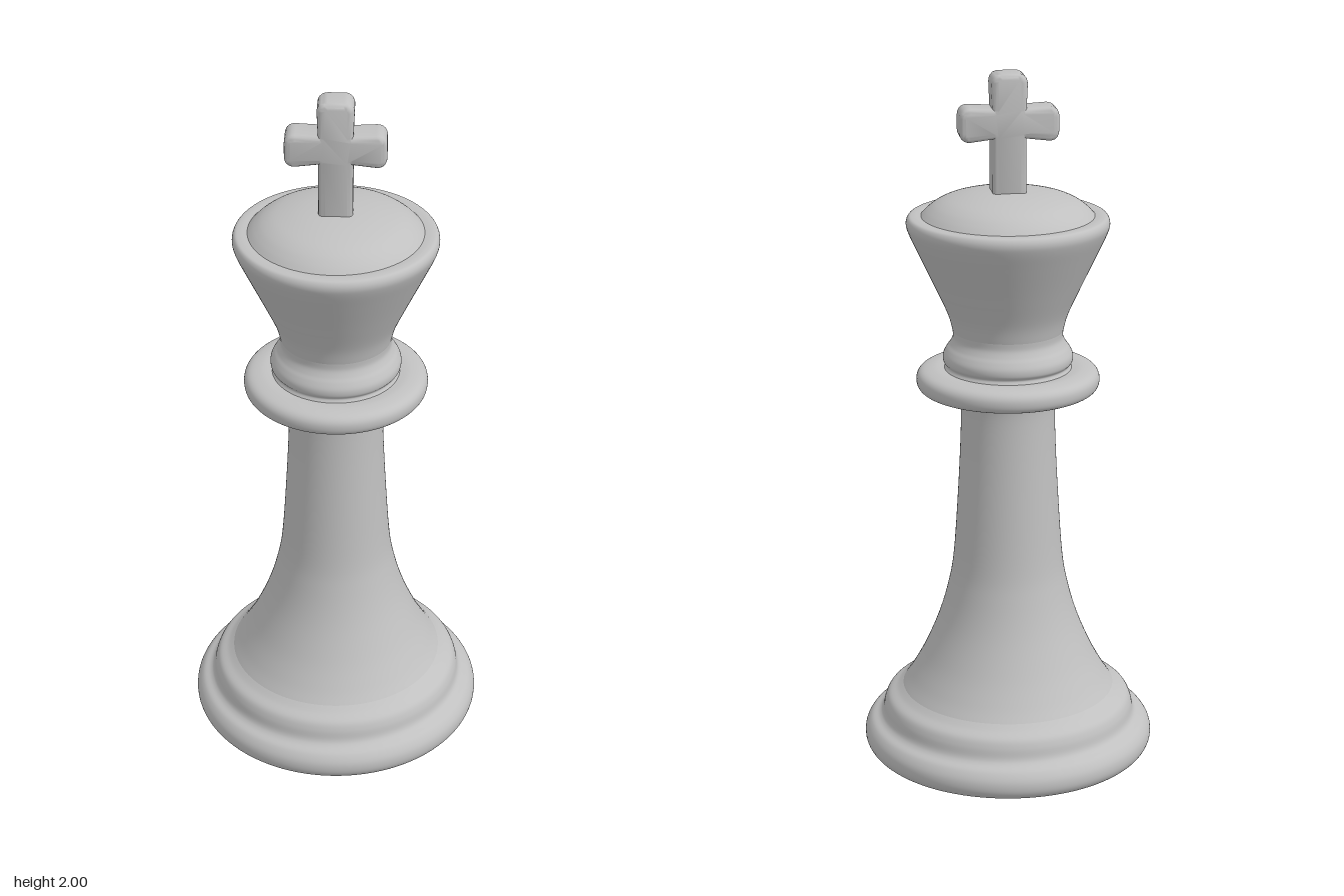
import * as THREE from 'three';
import { toCreasedNormals } from 'three/addons/utils/BufferGeometryUtils.js';

// Smooth turned section through a few [radius, height] points, bottom to top
function turned(name, points, material, samples = 32) {
  const curve = new THREE.SplineCurve(points.map(([r, y]) => new THREE.Vector2(r, y)));
  const profile = curve.getPoints(samples).map(p => p.set(Math.max(p.x, 0), Math.max(p.y, 0)));
  const mesh = new THREE.Mesh(new THREE.LatheGeometry(profile, 96), material);
  mesh.name = name;
  return mesh;
}

// Closed outline whose corners are rounded by up to radius r
function roundedShape(points, r) {
  const pts = points.map(([x, y]) => new THREE.Vector2(x, y));
  const shape = new THREE.Shape();
  pts.forEach((p, i) => {
    const before = pts[(i + pts.length - 1) % pts.length];
    const after = pts[(i + 1) % pts.length];
    const a = p.clone().add(before.clone().sub(p).setLength(r));
    const b = p.clone().add(after.clone().sub(p).setLength(r));
    if (i === 0) shape.moveTo(a.x, a.y); else shape.lineTo(a.x, a.y);
    shape.quadraticCurveTo(p.x, p.y, b.x, b.y);
  });
  shape.closePath();
  return shape;
}

export function createModel() {
  const group = new THREE.Group();
  const grey = new THREE.MeshStandardMaterial({ color: 0xc0c0c0, side: THREE.DoubleSide });
  grey.name = 'light grey';

  // Hollow stepped foot, open underneath
  group.add(turned('foot', [
    [0.355, 0.01], [0.38, 0.004], [0.405, 0.008], [0.42, 0.03], [0.419, 0.06], [0.403, 0.085],
    [0.38, 0.098], [0.369, 0.112], [0.362, 0.14], [0.35, 0.162], [0.325, 0.178], [0.308, 0.192],
  ], grey, 60));

  // Flared stem
  group.add(turned('stem', [
    [0.308, 0.192], [0.283, 0.23], [0.245, 0.3], [0.203, 0.4], [0.174, 0.5], [0.157, 0.6],
    [0.143, 0.8], [0.135, 0.97], [0.135, 1.06], [0.146, 1.09], [0.165, 1.1],
  ], grey, 60));

  // Collar disc
  group.add(turned('collar', [
    [0.165, 1.1], [0.2, 1.095], [0.24, 1.098], [0.257, 1.112], [0.258, 1.138],
    [0.243, 1.155], [0.21, 1.162], [0.18, 1.16],
  ], grey, 40));

  // Small ring above the collar
  group.add(turned('neckRing', [
    [0.18, 1.16], [0.175, 1.17], [0.183, 1.182], [0.183, 1.2], [0.174, 1.218],
    [0.164, 1.232], [0.156, 1.25], [0.156, 1.27],
  ], grey, 40));

  // Widening crown with a rolled rim
  group.add(turned('crown', [
    [0.156, 1.27], [0.17, 1.32], [0.206, 1.4], [0.253, 1.5], [0.278, 1.555],
    [0.284, 1.58], [0.277, 1.597], [0.262, 1.601], [0.242, 1.6],
  ], grey, 50));

  // Domed cap
  group.add(turned('cap', [
    [0.242, 1.6], [0.225, 1.617], [0.2, 1.635], [0.165, 1.65], [0.11, 1.663], [0.05, 1.67], [0, 1.672],
  ], grey));

  // Soft-edged cross, one half of the outline mirrored to the other
  const bevel = 0.016;
  const half = [
    [0.031, 1.64], [0.031, 1.838], [0.122, 1.827],
    [0.122, 1.893], [0.031, 1.888], [0.035, 1.984],
  ];
  const outline = [...half, ...half.map(([x, y]) => [-x, y]).reverse()];
  const crossGeometry = new THREE.ExtrudeGeometry(roundedShape(outline, 0.014), {
    depth: 0.06, bevelEnabled: true, bevelSize: bevel, bevelThickness: bevel, bevelSegments: 4, curveSegments: 5,
  });
  crossGeometry.translate(0, 0, -0.03);
  const cross = new THREE.Mesh(toCreasedNormals(crossGeometry, 0.7), grey);
  cross.name = 'cross';
  group.add(cross);

  return group;
}
